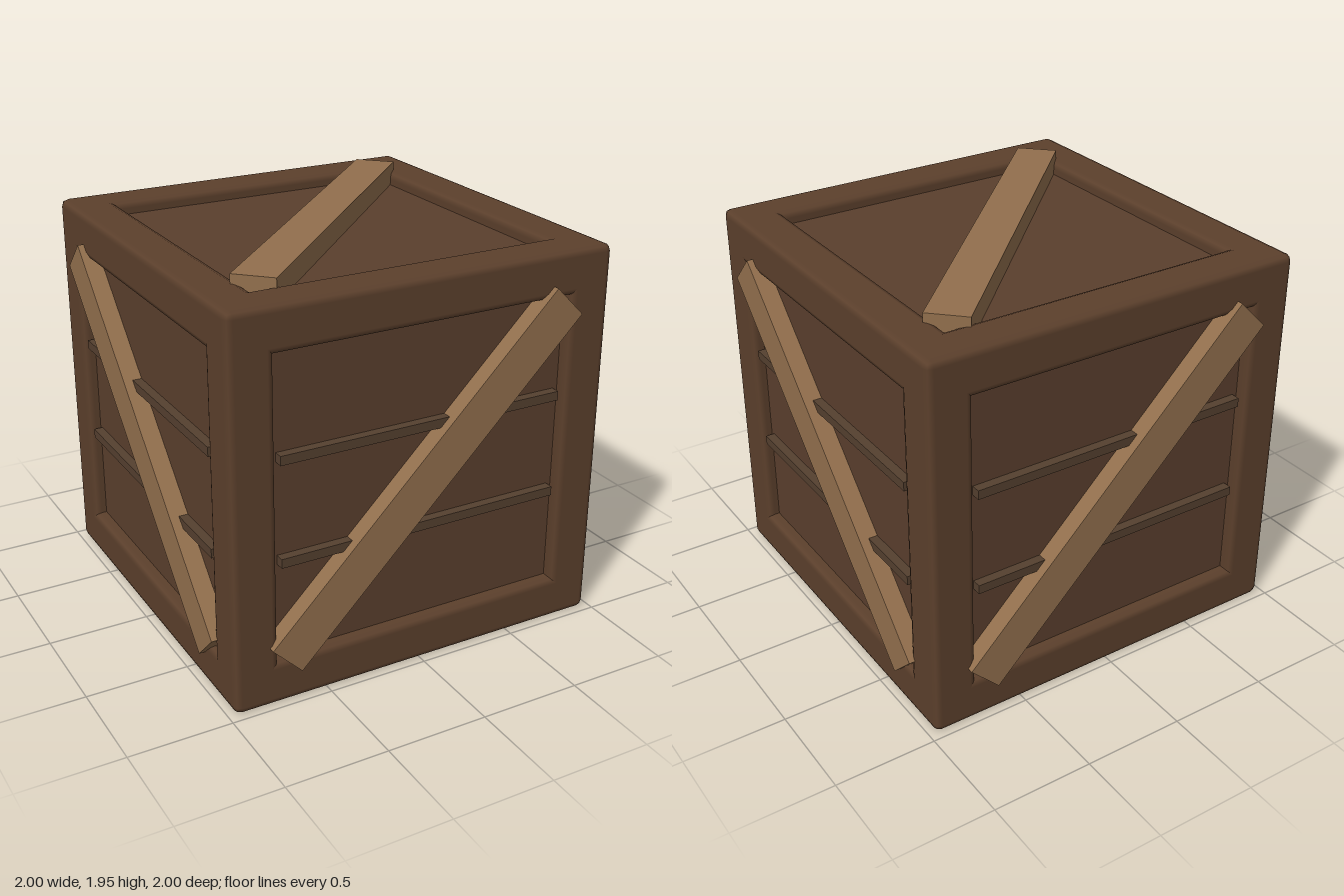
import * as THREE from 'three';
import { RoundedBoxGeometry } from 'three/addons/geometries/RoundedBoxGeometry.js';

const frameWood = new THREE.MeshStandardMaterial({ name: 'frameWood', color: 0x5c402c });
const panelWood = new THREE.MeshStandardMaterial({ name: 'panelWood', color: 0x5a3f2d });
const slatWood = new THREE.MeshStandardMaterial({ name: 'slatWood', color: 0x55402f });
const braceWood = new THREE.MeshStandardMaterial({ name: 'braceWood', color: 0x926f4d });

const HALF = 0.97;      // half width of the crate
const BOTTOM = 0.005;
const TOP = 1.91;
const MID = 0.96;       // height of the brace centres
const BEAM = 0.22;      // frame beam thickness
const PANEL = 0.91;     // distance of the recessed panels from the axis
const BEVEL = 0.035;

function add(parent, name, geometry, material, x = 0, y = 0, z = 0) {
  const mesh = new THREE.Mesh(geometry, material);
  mesh.name = name;
  mesh.position.set(x, y, z);
  parent.add(mesh);
  return mesh;
}

const beam = (w, h, d) => new RoundedBoxGeometry(w, h, d, 1, BEVEL);

// Diagonal plank lying in the xy plane, its back at z = 0
function addBrace(parent, thickness, y, z) {
  const mesh = add(parent, 'diagonalBrace', new THREE.BoxGeometry(2.045, 0.205, thickness), braceWood, 0, y, z + thickness / 2);
  mesh.rotation.z = Math.PI / 4;
  return mesh;
}

export function createModel() {
  const crate = new THREE.Group();
  crate.name = 'crate';

  // Recessed panels on the sides and top
  const panelTop = 1.845;
  add(crate, 'panels', new THREE.BoxGeometry(PANEL * 2, panelTop - 0.05, PANEL * 2), panelWood, 0, (panelTop + 0.05) / 2, 0);

  // Closed base
  add(crate, 'base', beam(HALF * 2, 0.15, HALF * 2), frameWood, 0, BOTTOM + 0.075, 0);

  // Twelve bevelled frame beams
  const off = HALF - BEAM / 2;
  const height = TOP - BOTTOM;
  const frame = new THREE.Group();
  frame.name = 'frame';
  crate.add(frame);
  for (const a of [-1, 1]) {
    for (const b of [-1, 1]) {
      add(frame, 'cornerPost', beam(BEAM, height, BEAM), frameWood, a * off, BOTTOM + height / 2, b * off);
    }
    for (const y of [BOTTOM + BEAM / 2, TOP - BEAM / 2]) {
      add(frame, 'crossRail', beam(HALF * 2, BEAM, BEAM), frameWood, 0, y, a * off);
      add(frame, 'sideRail', beam(BEAM, BEAM, HALF * 2), frameWood, a * off, y, 0);
    }
  }

  // Slats and a diagonal brace on each side; neighbouring braces mirror each other
  for (let i = 0; i < 4; i++) {
    const side = new THREE.Group();
    side.name = ['frontSide', 'leftSide', 'backSide', 'rightSide'][i];
    side.rotation.y = i * Math.PI / 2;
    crate.add(side);
    for (const y of [0.71, 1.205]) {
      add(side, 'slat', new THREE.BoxGeometry(1.45, 0.045, 0.06), slatWood, 0, y, PANEL + 0.015);
    }
    const brace = addBrace(side, 0.1, MID, 0.9);
    if (i % 2) brace.rotation.z = -Math.PI / 4;
  }

  // Brace across the top
  const lid = new THREE.Group();
  lid.name = 'topSide';
  lid.rotation.x = -Math.PI / 2;
  crate.add(lid);
  addBrace(lid, 0.12, 0, 1.835);

  return crate;
}
